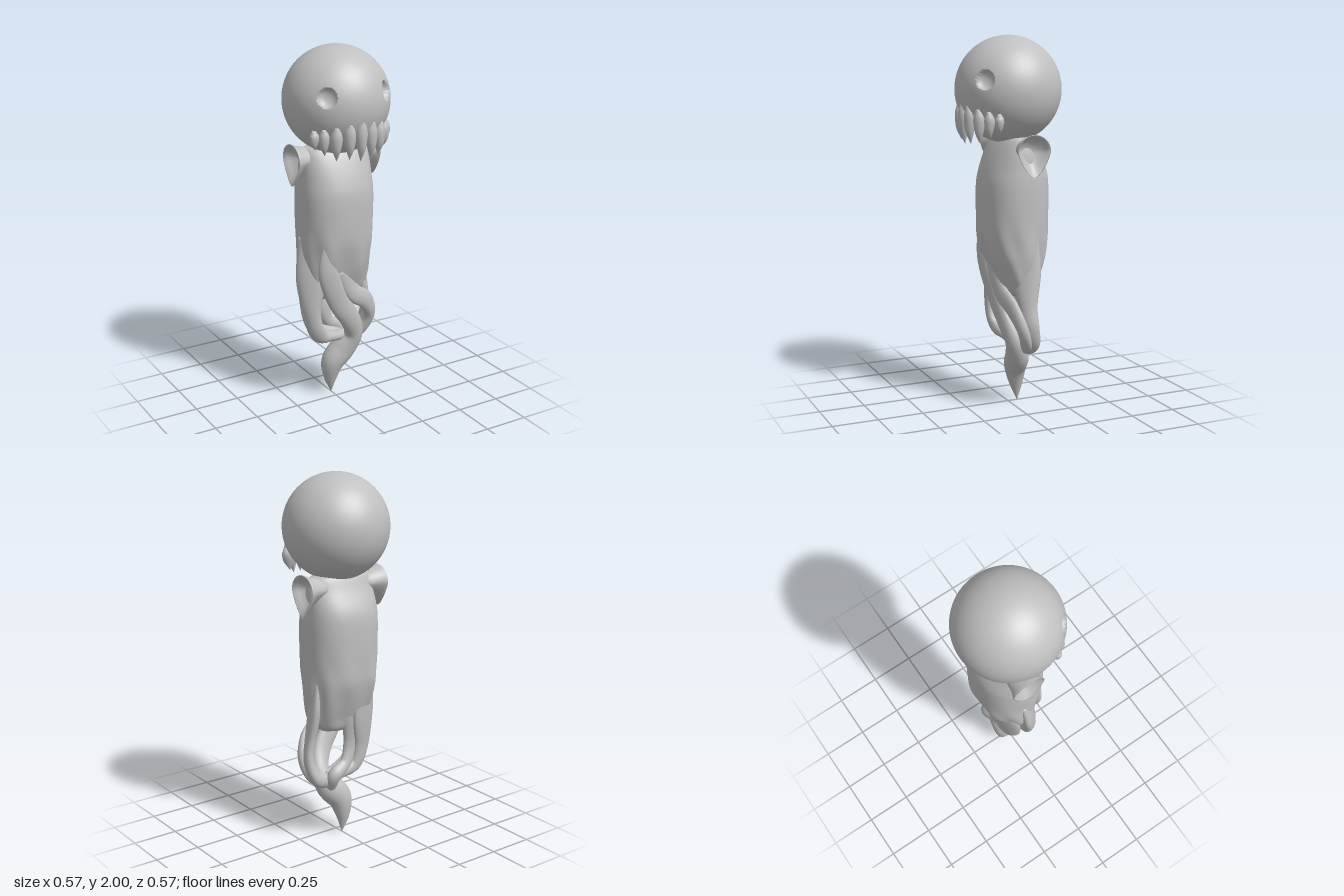
import * as THREE from 'three';

const bone = new THREE.MeshStandardMaterial({ color: 0xc0c0c0, side: THREE.DoubleSide });
bone.name = 'paleGrey';

// Closed, smooth skin through equally sized rings of points, capped at both ends
function loft(rings) {
  const n = rings[0].length, m = rings.length, pos = [], idx = [];
  rings.forEach(r => r.forEach(p => pos.push(p.x, p.y, p.z)));
  for (let i = 0; i < m - 1; i++) for (let j = 0; j < n; j++) {
    const a = i * n + j, b = i * n + (j + 1) % n;
    idx.push(a, b, a + n, b, b + n, a + n);
  }
  [rings[0], rings[m - 1]].forEach((ring, end) => {
    const c = ring.reduce((s, p) => s.add(p), new THREE.Vector3()).divideScalar(n);
    const o = end ? (m - 1) * n : 0;
    pos.push(c.x, c.y, c.z);
    for (let j = 0; j < n; j++) {
      const a = o + j, b = o + (j + 1) % n;
      idx.push(m * n + end, end ? a : b, end ? b : a);
    }
  });
  const g = new THREE.BufferGeometry();
  g.setAttribute('position', new THREE.Float32BufferAttribute(pos, 3));
  g.setIndex(idx);
  g.computeVertexNormals();
  return g;
}

const ringOf = (n, fn) => Array.from({ length: n }, (_, j) => fn(j / n * Math.PI * 2));

// Flattened tapering strand; each point is [x, y, z, half width, half thickness]
function strand(points, out, steps = 48, sides = 18) {
  const path = new THREE.CatmullRomCurve3(points.map(p => new THREE.Vector3(p[0], p[1], p[2])), false, 'catmullrom');
  const size = new THREE.CatmullRomCurve3(points.map(p => new THREE.Vector3(p[3], p[4], 0)), false, 'catmullrom');
  const o = new THREE.Vector3(...out), rings = [];
  for (let i = 0; i <= steps; i++) {
    const c = path.getPoint(i / steps), s = size.getPoint(i / steps), T = path.getTangent(i / steps);
    const U = new THREE.Vector3().crossVectors(T, o).normalize();
    const V = new THREE.Vector3().crossVectors(T, U);
    rings.push(ringOf(sides, t => c.clone()
      .addScaledVector(U, Math.max(s.x, 0.001) * Math.cos(t))
      .addScaledVector(V, Math.max(s.y, 0.001) * Math.sin(t))));
  }
  return loft(rings);
}

// Round skull with two bowl-shaped eye sockets pressed in
function headGeometry() {
  const R = 0.283, g = new THREE.SphereGeometry(R, 200, 140);
  const p = g.attributes.position, nrm = g.attributes.normal;
  const eyes = [-1, 1].map(s => new THREE.Vector3(s * 0.177, 0.063, 0.211).setLength(R));
  const v = new THREE.Vector3(), touched = [];
  for (let i = 0; i < p.count; i++) {
    v.fromBufferAttribute(p, i);
    for (const e of eyes) {
      const d = v.distanceTo(e) / 0.054;
      if (d < 1) {
        v.addScaledVector(e, -0.045 / R * Math.sqrt(1 - d * d));
        p.setXYZ(i, v.x, v.y, v.z);
        touched.push(i);
      }
    }
  }
  const smooth = nrm.clone();
  g.computeVertexNormals();
  const bent = g.attributes.normal, set = new Set(touched);
  for (let i = 0; i < p.count; i++) {
    if (set.has(i)) smooth.setXYZ(i, bent.getX(i), bent.getY(i), bent.getZ(i));
  }
  g.setAttribute('normal', smooth);
  return g.translate(0, 1.717, 0);
}

// Hollow cloth body: rows are [y, half width, front z, back z]
function bodyGeometry() {
  const rows = [
    [1.475, 0.1, 0.03, -0.09], [1.465, 0.17, 0.06, -0.11], [1.4, 0.195, 0.1, -0.14],
    [1.3, 0.205, 0.14, -0.19], [1.2, 0.21, 0.16, -0.205], [1.0, 0.208, 0.16, -0.205],
    [0.9, 0.207, 0.148, -0.2], [0.8, 0.205, 0.122, -0.172], [0.7, 0.19, 0.085, -0.135],
    [0.635, 0.15, 0.06, -0.11], [0.61, 0.08, 0.02, -0.07]];
  const a = new THREE.CatmullRomCurve3(rows.map(r => new THREE.Vector3(r[0], r[1], 0)), false, 'catmullrom');
  const b = new THREE.CatmullRomCurve3(rows.map(r => new THREE.Vector3(r[2], r[3], 0)), false, 'catmullrom');
  const rings = [], pw = x => Math.sign(x) * Math.abs(x) ** 0.86;
  for (let i = 0; i <= 60; i++) {
    const { x: y, y: w } = a.getPoint(i / 60), { x: f, y: k } = b.getPoint(i / 60);
    const fold = 0.045 * THREE.MathUtils.smoothstep(1.15 - y, 0, 0.35);
    rings.push(ringOf(72, t => {
      const q = 1 + fold * (Math.sin(6 * t + y * 9) * 0.6 + Math.sin(9 * t - y * 12) * 0.4 - 0.3);
      return new THREE.Vector3(w * q * pw(Math.cos(t)), y, (f + k) / 2 + (f - k) / 2 * q * pw(Math.sin(t)));
    }));
  }
  return loft(rings);
}

// Flared teardrop sleeve with a hollow end: rows are [x, top, bottom, half width]
function sleeveGeometry(side) {
  const rows = [[0.11, 0.05, 0.06, 0.07], [0.16, 0.065, 0.07, 0.073], [0.2, 0.073, 0.085, 0.078],
    [0.228, 0.082, 0.11, 0.088], [0.245, 0.09, 0.138, 0.095],
    [0.245, 0.084, 0.13, 0.089], [0.225, 0.07, 0.095, 0.075], [0.19, 0.045, 0.05, 0.05]];
  return loft(rows.map(([x, top, bottom, w]) => ringOf(40, t => {
    const c = Math.cos(t);
    return new THREE.Vector3(side * x, 1.405 + c * (c > 0 ? top : bottom),
      -0.04 + side * w * Math.sin(t) * (c < 0 ? 1 + 0.4 * c : 1));
  })));
}

export function createModel() {
  const group = new THREE.Group();
  const add = (name, geometry) => {
    const mesh = new THREE.Mesh(geometry, bone);
    mesh.name = name;
    group.add(mesh);
  };

  add('head', headGeometry());
  add('body', bodyGeometry());
  add('leftSleeve', sleeveGeometry(1));
  add('rightSleeve', sleeveGeometry(-1));

  // Fangs in an arc along the jaw: [angle, tip height, width]
  const fangs = [[-56, 1.5, 0.024], [-44, 1.475, 0.027], [-30, 1.45, 0.031], [-14.5, 1.455, 0.031], [0, 1.44, 0.031],
    [14.5, 1.445, 0.031], [30, 1.45, 0.031], [44, 1.475, 0.027], [56, 1.5, 0.024]];
  fangs.forEach(([deg, tip, w]) => {
    const a = THREE.MathUtils.degToRad(deg), s = Math.sin(a), c = Math.cos(a);
    const top = 1.655 - Math.abs(deg) * 0.0009;
    const rows = [[0.262, 0, 0.35, 0.012], [0.256, 0.2, 0.9, 0.026], [0.254, 0.42, 1, 0.029],
      [0.253, 0.7, 0.68, 0.022], [0.246, 1, 0.04, 0.001]];
    add('fang', strand(rows.map(([r, k, f, d]) => [s * r, top + (tip - top) * k, c * r, w * f, d]), [s, 0, c], 20, 14));
  });

  // Twisting front strand ending in the pointed leaf-like tail
  add('tail', strand([
    [-0.11, 0.98, 0.11, 0.03, 0.015], [-0.105, 0.8, 0.1, 0.06, 0.028], [-0.03, 0.62, 0.075, 0.065, 0.03],
    [0.06, 0.48, 0.05, 0.06, 0.035], [0.105, 0.37, 0.01, 0.055, 0.05], [0.065, 0.28, -0.025, 0.075, 0.062],
    [0.005, 0.2, -0.04, 0.07, 0.06], [-0.008, 0.1, -0.05, 0.04, 0.038], [0, 0, -0.055, 0.001, 0.001]], [0, 0, 1], 70));

  // Curling strands that hang from the hem and gather above the tail
  add('leftStrand', strand([
    [0.15, 0.95, -0.03, 0.07, 0.025], [0.165, 0.75, -0.03, 0.08, 0.035], [0.195, 0.58, -0.03, 0.05, 0.03],
    [0.21, 0.46, -0.04, 0.045, 0.03], [0.17, 0.36, -0.06, 0.045, 0.035], [0.06, 0.32, -0.05, 0.04, 0.03]], [0.8, 0.3, 0.5]));
  add('frontLeftStrand', strand([
    [-0.02, 0.8, 0.09, 0.04, 0.02], [0.06, 0.65, 0.075, 0.05, 0.022], [0.16, 0.57, 0.05, 0.05, 0.025],
    [0.21, 0.46, 0.01, 0.035, 0.03], [0.17, 0.36, -0.03, 0.04, 0.03], [0.07, 0.32, -0.04, 0.03, 0.025]], [0.3, 0, 1]));
  add('rightStrand', strand([
    [-0.15, 0.98, 0, 0.07, 0.025], [-0.17, 0.75, 0.02, 0.08, 0.035], [-0.17, 0.56, 0.03, 0.05, 0.035],
    [-0.13, 0.42, 0.03, 0.045, 0.03], [-0.03, 0.375, 0, 0.03, 0.035], [0.1, 0.35, -0.04, 0.03, 0.03]], [-0.6, 0.2, 0.8]));
  add('backRightStrand', strand([
    [-0.1, 0.9, -0.13, 0.07, 0.02], [-0.11, 0.7, -0.1, 0.1, 0.03], [-0.12, 0.52, -0.075, 0.07, 0.028],
    [-0.08, 0.4, -0.07, 0.045, 0.03], [0.03, 0.36, -0.07, 0.03, 0.03], [0.1, 0.33, -0.06, 0.03, 0.03]], [-0.4, 0.2, -1]));
  add('backStrand', strand([
    [0.02, 0.9, -0.15, 0.05, 0.02], [-0.01, 0.7, -0.11, 0.05, 0.025], [-0.03, 0.54, -0.085, 0.04, 0.022],
    [0.0, 0.43, -0.09, 0.035, 0.025], [0.08, 0.37, -0.095, 0.04, 0.035], [0.08, 0.28, -0.05, 0.03, 0.03]], [0, 0.2, -1]));

  return group;
}
